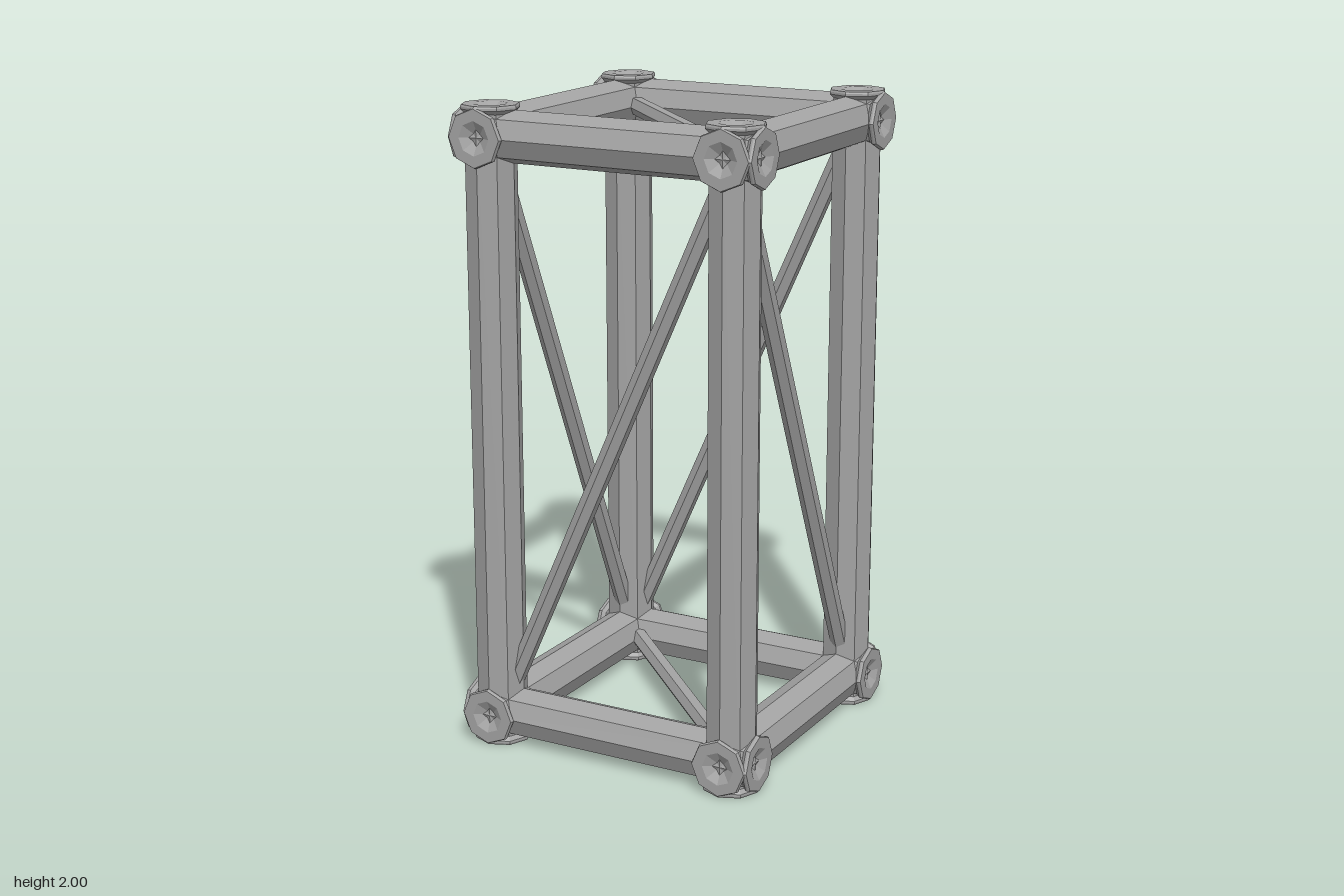
import * as THREE from 'three';

const C = 0.406;            // node offset in x and z
const CAP = 0.093;          // cap face distance from node centre
const Y0 = 0.093, Y1 = 1.907;

const steel = new THREE.MeshStandardMaterial({ color: 0xa3a3a3 });
steel.name = 'steel grey';

// split the faces so each one is shaded flat
function faceted(geometry) {
  const flat = geometry.toNonIndexed();
  flat.computeVertexNormals();
  return flat;
}

// octagonal beam with flared collars and conical sockets at both ends
function beamGeometry(span) {
  const h = span / 2;
  const end = [[0.079, 0.068], [0.09, 0.08], [0.09, 0.087], [0.087, CAP], [0.052, CAP], [0, 0.066]];
  const top = end.map(([r, d]) => new THREE.Vector2(r, h + d));
  const bottom = end.map(([r, d]) => new THREE.Vector2(r, -h - d)).reverse();
  return faceted(new THREE.LatheGeometry([...bottom, ...top], 8));
}

export function createModel() {
  const group = new THREE.Group();

  function add(name, geometry, position, rotation = [0, 0, 0]) {
    const mesh = new THREE.Mesh(geometry, steel);
    mesh.name = name;
    mesh.position.set(...position);
    mesh.rotation.set(...rotation);
    group.add(mesh);
    return mesh;
  }

  // thin hexagonal rod between two nodes, turned to suit its panel's normal
  function brace(name, from, to, normal, turn) {
    const a = new THREE.Vector3(...from), b = new THREE.Vector3(...to);
    const dir = b.clone().sub(a);
    const geometry = new THREE.CylinderGeometry(0.03, 0.03, dir.length(), 6, 1, true);
    geometry.rotateY(turn);
    const mesh = add(name, faceted(geometry), a.add(b).multiplyScalar(0.5).toArray());
    const y = dir.normalize(), z = new THREE.Vector3(...normal);
    const x = new THREE.Vector3().crossVectors(y, z);
    mesh.quaternion.setFromRotationMatrix(new THREE.Matrix4().makeBasis(x, y, z));
  }

  const post = beamGeometry(Y1 - Y0);
  const rail = beamGeometry(2 * C);

  // four posts
  for (const x of [-C, C]) for (const z of [-C, C]) add('post', post, [x, 1, z]);

  for (const y of [Y0, Y1]) {
    // square of rails at bottom and top
    for (const s of [-C, C]) {
      add('crossRail', rail, [0, y, s], [0, 0, Math.PI / 2]);
      add('sideRail', rail, [s, y, 0], [Math.PI / 2, 0, 0]);
    }
    // diagonal across the square
    brace('levelBrace', [-C, y, -C], [C, y, C], [0, 1, 0], Math.PI / 6);
  }

  // diagonals of the four upright panels
  for (const s of [-C, C]) {
    brace('crossBrace', [-C, Y0, s], [C, Y1, s], [0, 0, 1], 0);
    brace('sideBrace', [s, Y0, -C], [s, Y1, C], [1, 0, 0], Math.PI / 6);
  }
  return group;
}
